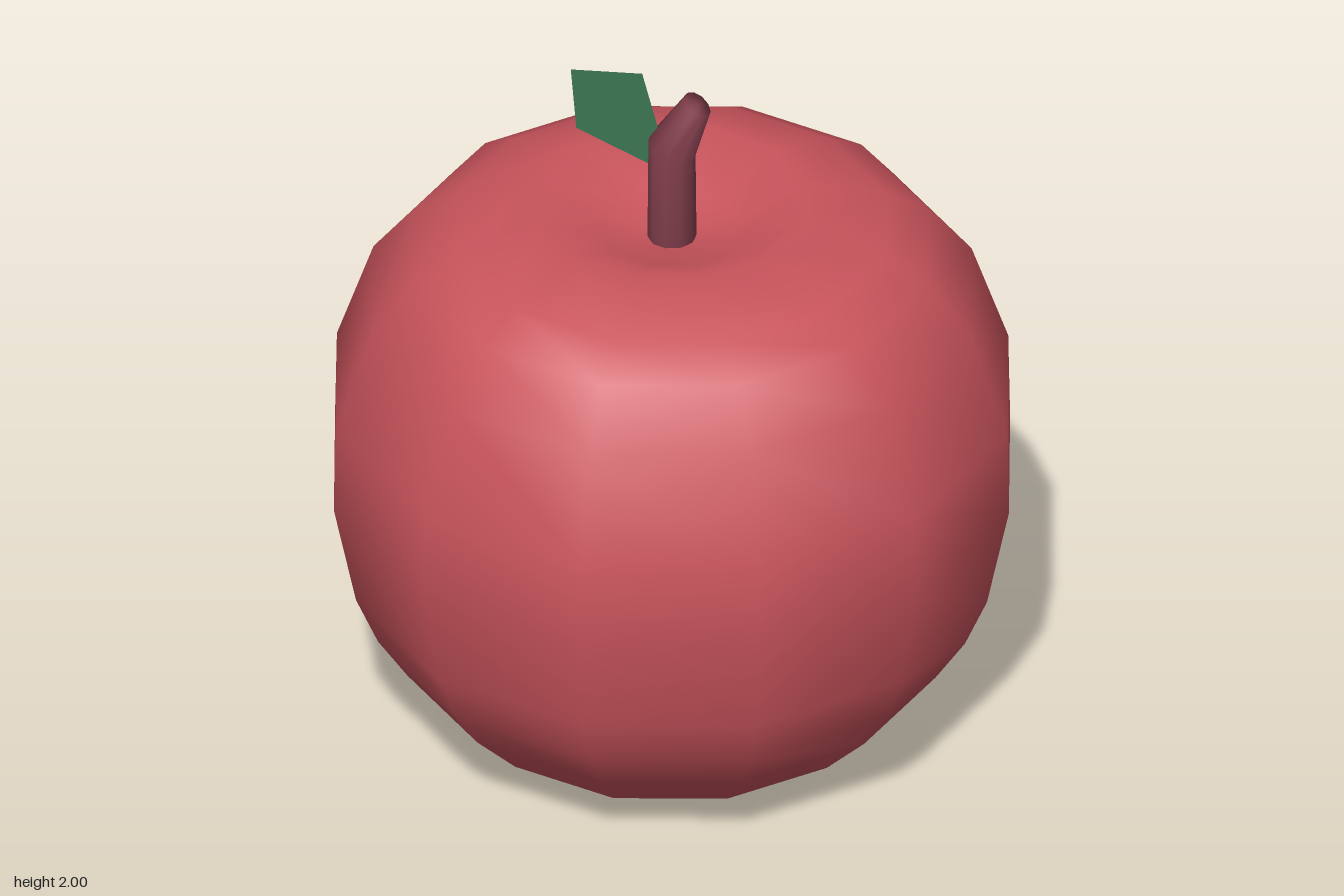
import * as THREE from 'three';
import { mergeVertices } from 'three/addons/utils/BufferGeometryUtils.js';

function addPart(group, name, geometry, color, side = THREE.FrontSide) {
  const mesh = new THREE.Mesh(geometry, new THREE.MeshStandardMaterial({ color, side }));
  mesh.name = name;
  group.add(mesh);
}

// Twelve-sided fruit, with a dimple at the top and a shallow one below
function fruitGeometry() {
  const profile = [
    [0, 0.04], [0.37, 0], [0.58, 0.1], [0.72, 0.24], [0.8, 0.36], [0.86, 0.5],
    [0.92, 0.79], [0.915, 1.04], [0.815, 1.33], [0.7, 1.47], [0.585, 1.54],
    [0.37, 1.61], [0.19, 1.53], [0, 1.49],
  ].map(([r, y]) => new THREE.Vector2(r, y));
  return new THREE.LatheGeometry(profile, 12);
}

// Stem: a cylinder whose three rings are scaled, tilted and shifted into a bend
function stemGeometry() {
  const rings = [
    { x: 0, y: 1.47, r: 0.065, tilt: 0 },
    { x: 0, y: 1.78, r: 0.068, tilt: -0.44 },
    { x: 0.07, y: 1.925, r: 0.042, tilt: -0.65 },
  ];
  const geometry = new THREE.CylinderGeometry(1, 1, 2, 10, 2);
  const pos = geometry.attributes.position;
  for (let i = 0; i < pos.count; i++) {
    const ring = rings[Math.round(pos.getY(i)) + 1];
    const across = pos.getX(i) * ring.r;
    pos.setXYZ(
      i,
      ring.x + across * Math.cos(ring.tilt),
      ring.y + across * Math.sin(ring.tilt),
      pos.getZ(i) * ring.r
    );
  }
  geometry.deleteAttribute('uv');
  geometry.deleteAttribute('normal');
  const smooth = mergeVertices(geometry);
  smooth.computeVertexNormals();
  return smooth;
}

// Flat five-cornered leaf
function leafGeometry() {
  const corners = [[-0.275, 1.98], [-0.26, 1.8], [-0.06, 1.72], [-0.035, 1.83], [-0.08, 2]];
  const shape = new THREE.Shape(corners.map(([x, y]) => new THREE.Vector2(x, y)));
  return new THREE.ShapeGeometry(shape).translate(0, 0, 0.005);
}

export function createModel() {
  const model = new THREE.Group();
  model.name = 'apple';
  addPart(model, 'fruit', fruitGeometry(), 0xc9545c);
  addPart(model, 'stem', stemGeometry(), 0x84404e);
  addPart(model, 'leaf', leafGeometry(), 0x3b7550, THREE.DoubleSide);
  return model;
}
